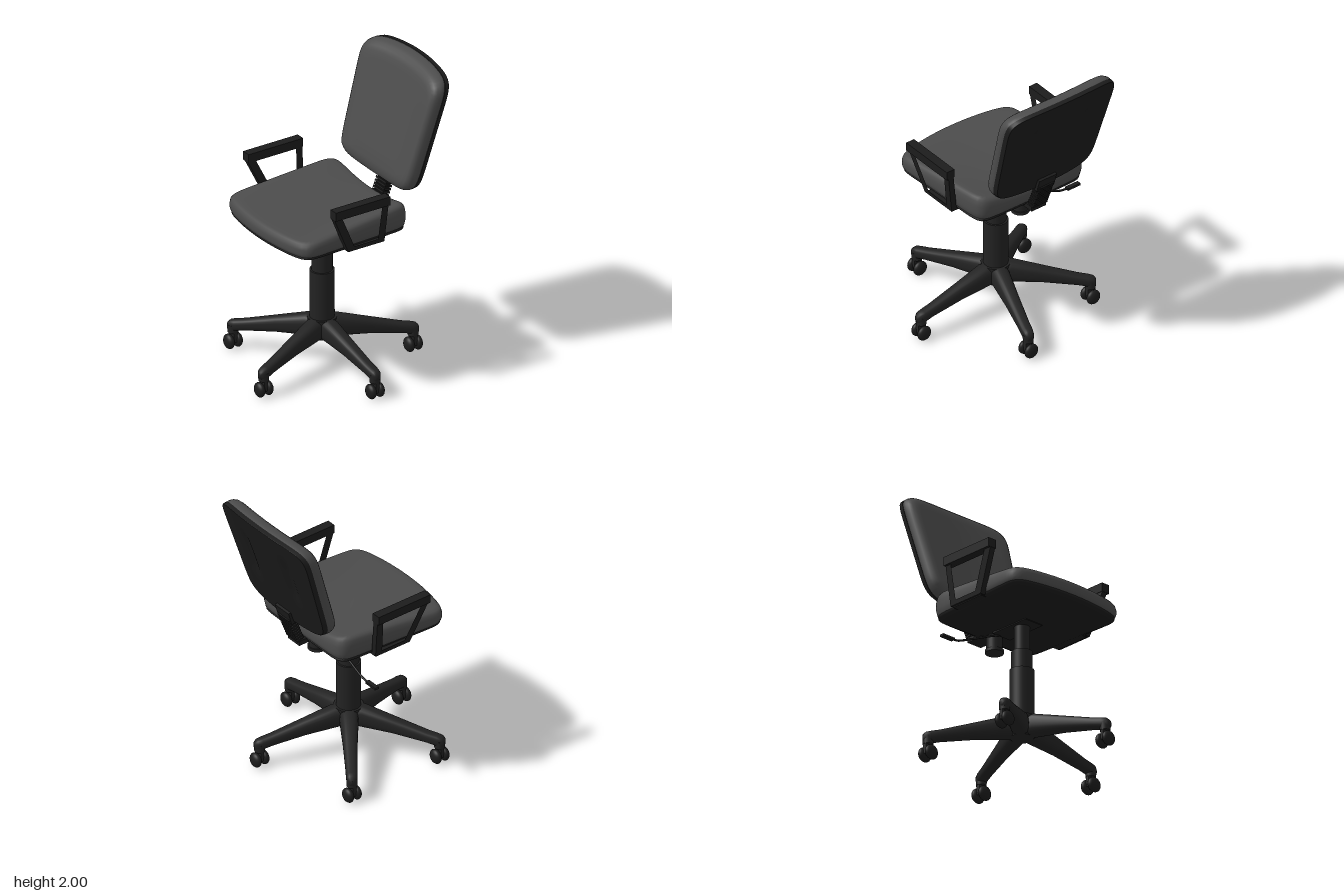
import * as THREE from 'three';

const mat = (name, color) => {
  const m = new THREE.MeshStandardMaterial({ color });
  m.name = name;
  return m;
};

// Skin a list of closed loops (arrays of [x, y, z]) with smooth normals.
// A repeated loop gives a hard edge.
function loft(loops) {
  const n = loops[0].length, idx = [];
  for (let r = 0; r < loops.length - 1; r++)
    for (let i = 0; i < n; i++) {
      const j = (i + 1) % n;
      const a = r * n + i, b = r * n + j, d = a + n, c = b + n;
      idx.push(a, d, b, b, d, c);
    }
  const g = new THREE.BufferGeometry();
  g.setAttribute('position', new THREE.Float32BufferAttribute(loops.flat(2), 3));
  g.setIndex(idx);
  g.computeVertexNormals();
  return g;
}

// Unit rounded-square loop, mapped to 3D by fn(u, v).
function loop(n, power, fn) {
  return Array.from({ length: n }, (_, i) => {
    const t = (i / n) * Math.PI * 2, c = Math.cos(t), s = Math.sin(t);
    const k = Math.pow(Math.abs(c) ** power + Math.abs(s) ** power, -1 / power);
    return fn(c * k, s * k);
  });
}

export function createModel() {
  const fabric = mat('grey fabric', 0x4c4c4c);
  const black = mat('black shell', 0x1c1c1c);
  const plastic = mat('dark plastic', 0x232323);

  const root = new THREE.Group();
  root.name = 'officeChair';
  const chair = new THREE.Group();
  chair.name = 'turnedChair';
  chair.position.set(-0.072, 0, 0.085);
  chair.rotation.y = -0.826;
  root.add(chair);

  const add = (name, geo, material, x = 0, y = 0, z = 0, parent = chair) => {
    const m = new THREE.Mesh(geo, material);
    m.name = name;
    m.position.set(x, y, z);
    parent.add(m);
    return m;
  };
  const cyl = (rTop, rBottom, y0, y1, seg = 28) =>
    new THREE.CylinderGeometry(rTop, rBottom, y1 - y0, seg).translate(0, (y0 + y1) / 2, 0);

  // Seat: outline bulges at the front and the rear corners rise
  const seatRing = (scale, height) => loop(128, 12, (u, v) => {
    u *= scale; v *= scale;
    const x = u * (0.441 + 0.018 * v);
    const z = 0.05 + v * 0.44 * (v > 0 ? 1 - 0.15 * u * u : 1);
    return [x, height(u, v), z];
  });
  const seatTop = (u, v) => 1.12 + (1 - v) * (0.008 + 0.036 * u * u);
  const cushionRings = [[0.95, 0], [0.985, 0.08], [1, 0.3], [1, 0.6], [0.987, 0.8], [0.96, 0.93],
    [0.91, 0.99], [0.82, 1], [0.65, 1], [0.45, 1], [0.25, 1], [0, 1]];
  add('seatCushion', loft(cushionRings.map(([s, h]) =>
    seatRing(s, (u, v) => 1.02 + h * (seatTop(u, v) - 1.02)))), fabric);
  const panRings = [[0, 0.967], [0.4, 0.969], [0.7, 0.982], [0.9, 0.998], [0.975, 1.012], [0.98, 1.035], [0.9, 1.04]];
  add('seatPan', loft(panRings.map(([s, y]) => seatRing(s, () => y))), black);

  // Backrest: leaning and gently curved around the sitter
  const backRing = (scale, depth, ribs = 0) => loop(128, 9, (u, v) => {
    u *= scale; v *= scale;
    const x = u * (0.412 + 0.025 * v);
    const y = 1.6 + 0.4 * v * (1 - (v > 0 ? 0.09 : 0.07) * u * u);
    const t = (y - 1.2) / 0.8;
    const lean = -0.34 - 0.24 * t - (1 - u * u) * (0.022 + 0.022 * t);
    const tuck = Math.max(0, 0.12 - t) * 0.25 * (1 - depth / 0.13);
    const rib = ribs * Math.exp(-(((Math.abs(x) - 0.2) / 0.035) ** 2) - ((y - 1.64) / 0.17) ** 4);
    return [x, y, lean - tuck - depth + rib];
  });
  const backFront = [[0, 0], [0.3, 0], [0.55, 0], [0.75, 0], [0.85, 0.002], [0.92, 0.009], [0.965, 0.024],
    [0.99, 0.045], [1, 0.07], [1, 0.085], [0.99, 0.098]];
  add('backCushion', loft(backFront.map(([s, d]) => backRing(s, d))), fabric);
  const backRear = [[0.97, 0.094], [1, 0.097], [1, 0.097], [0.992, 0.126], [0.985, 0.13], [0.985, 0.13]];
  for (let s = 0.94; s > 0.05; s -= 0.05) backRear.push([s, 0.13]);
  backRear.push([0, 0.13]);
  add('backShell', loft(backRear.map(([s, d]) => backRing(s, d, s < 0.95 ? 0.018 : 0))), black);

  // Ribbed back support with its mounting plate and knob
  for (let i = 0; i < 10; i++) {
    const rib = add('supportRib', new THREE.BoxGeometry(0.115, 0.013, 0.055), black,
      0, 1.035 + i * 0.02, -0.43 - i * 0.0075);
    rib.rotation.x = -0.3;
  }
  const core = add('supportCore', new THREE.BoxGeometry(0.095, 0.27, 0.035), black, 0, 1.125, -0.464);
  core.rotation.x = -0.35;
  const plate = add('supportPlate', new THREE.BoxGeometry(0.14, 0.1, 0.03), black, 0, 1.235, -0.508);
  plate.rotation.x = -0.28;
  add('supportBar', new THREE.BoxGeometry(0.115, 0.035, 0.37), black, 0, 1.005, -0.255);
  add('mechanism', new THREE.BoxGeometry(0.15, 0.04, 0.3), black, 0, 0.982, -0.04);
  add('knob', cyl(0.052, 0.052, 0.885, 1.0), plastic, 0, 0, -0.253);
  add('knobRim', cyl(0.06, 0.06, 0.868, 0.89), plastic, 0, 0, -0.253);

  // Height lever
  const leverPath = new THREE.CatmullRomCurve3([[0, 0.975], [-0.12, 0.925], [-0.37, 0.815], [-0.46, 0.806]]
    .map(([x, y]) => new THREE.Vector3(x, y, -0.185)), false, 'catmullrom', 0.2);
  add('lever', new THREE.TubeGeometry(leverPath, 24, 0.007, 8), black);
  add('leverPaddle', new THREE.BoxGeometry(0.1, 0.016, 0.03), black, -0.475, 0.805, -0.183);

  // Armrests: open frames that splay outwards, topped by a wider pad
  const poly = pts => pts.map(p => new THREE.Vector2(...p));
  for (const side of [1, -1]) {
    const frame = new THREE.Shape(poly([[0.245, 1.33], [0.245, 1.28], [0.12, 1.01], [-0.155, 1.01], [-0.165, 1.28], [-0.165, 1.33]]));
    frame.holes.push(new THREE.Path(poly([[0.19, 1.285], [0.075, 1.04], [-0.105, 1.04], [-0.118, 1.285]])));
    const geo = new THREE.ExtrudeGeometry(frame, { depth: 0.04, bevelEnabled: false });
    geo.rotateY(-Math.PI / 2).translate(0.02, 0, 0);
    const p = geo.attributes.position;
    for (let i = 0; i < p.count; i++) p.setX(i, p.getX(i) + side * (0.493 + (p.getY(i) - 1.33) * 0.12));
    geo.computeVertexNormals();
    const arm = new THREE.Group();
    arm.name = side > 0 ? 'leftArmrest' : 'rightArmrest';
    chair.add(arm);
    add('armFrame', geo, black, 0, 0, 0, arm);
    add('armPad', new THREE.BoxGeometry(0.062, 0.06, 0.415), black, side * 0.493, 1.312, 0.04, arm);
    add('armBracket', new THREE.BoxGeometry(0.12, 0.014, 0.26), black, side * 0.4, 1.012, -0.02, arm);
  }

  // Telescopic column
  add('lowerColumn', cyl(0.08, 0.08, 0.25, 0.66, 36), plastic);
  add('middleColumn', cyl(0.068, 0.068, 0.66, 0.79, 36), plastic);
  add('upperColumn', cyl(0.05, 0.05, 0.79, 0.98, 32), plastic);
  add('baseHub', cyl(0.095, 0.075, 0.19, 0.33, 36), plastic);

  // Five-legged base: [radius, half width, bottom, top]
  const legSections = [[0.02, 0.055, 0.19, 0.325], [0.1, 0.06, 0.185, 0.333], [0.3, 0.047, 0.17, 0.277],
    [0.52, 0.038, 0.14, 0.215], [0.585, 0.037, 0.125, 0.202], [0.615, 0.032, 0.122, 0.194],
    [0.632, 0.02, 0.13, 0.178], [0.635, 0, 0.155, 0.155]];
  const legGeo = loft(legSections.map(([r, w, y0, y1]) =>
    loop(24, 2.8, (u, v) => [r, (y0 + y1) / 2 + v * (y1 - y0) / 2, u * w])));
  const wheelGeo = new THREE.SphereGeometry(0.05, 24, 16).scale(1, 1, 0.58);
  for (let k = 0; k < 5; k++) {
    const a = (k / 5) * Math.PI * 2;
    add('baseLeg', legGeo, plastic).rotation.y = -a;
    const caster = new THREE.Group();
    caster.name = 'caster';
    caster.position.set(Math.cos(a) * 0.598, 0, Math.sin(a) * 0.598);
    chair.add(caster);
    add('casterStem', cyl(0.036, 0.034, 0.11, 0.165, 20), plastic, 0, 0, 0, caster);
    add('casterBody', new THREE.BoxGeometry(0.06, 0.075, 0.026), plastic, 0, 0.08, 0, caster);
    for (const s of [1, -1]) add('casterWheel', wheelGeo, black, 0, 0.05, s * 0.031, caster);
  }
  return root;
}
